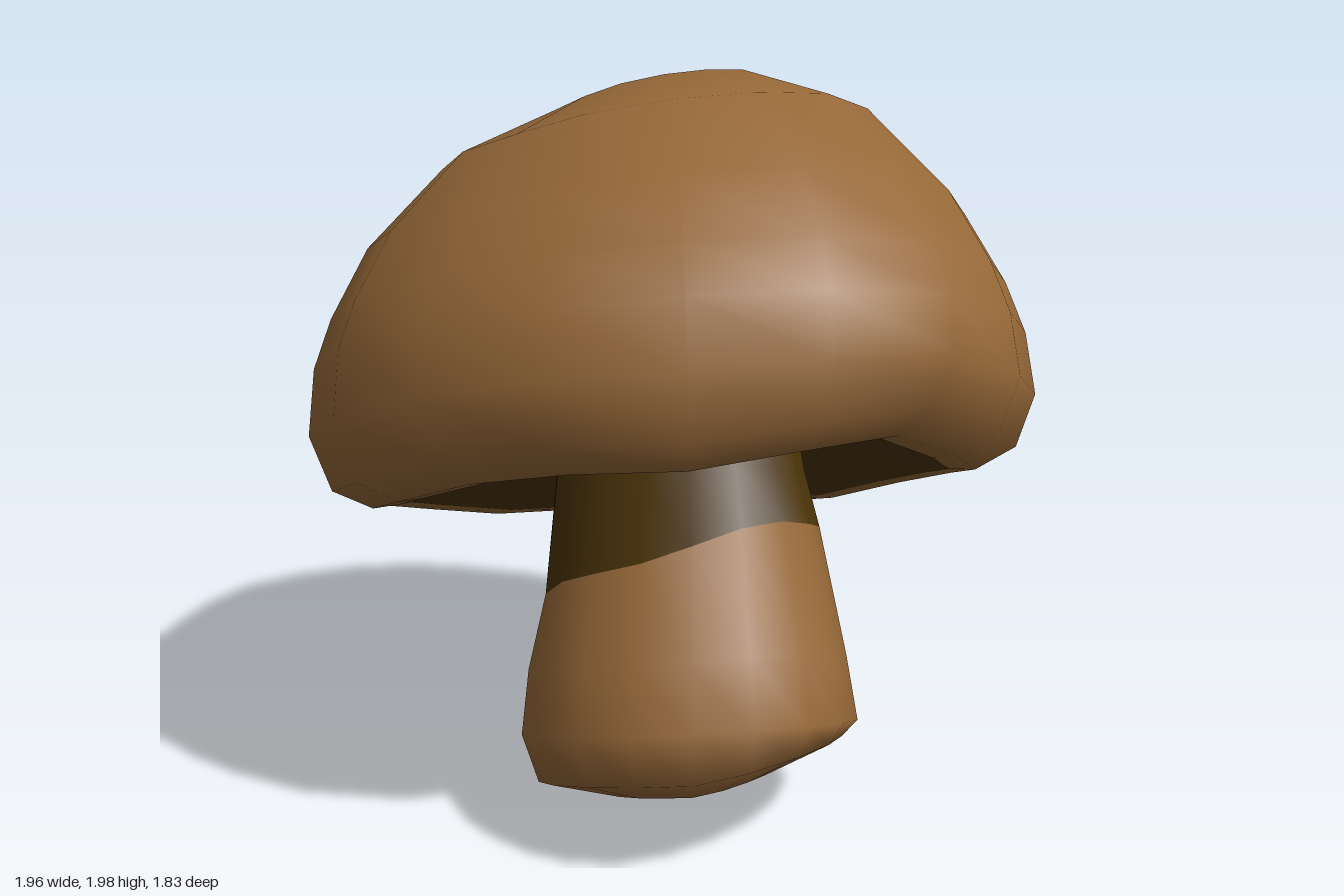
import * as THREE from 'three';
import { mergeVertices } from 'three/addons/utils/BufferGeometryUtils.js';

const SIDES = 18;
const { clamp } = THREE.MathUtils;

// Revolve a profile (bottom to top), bend its vertices by a rule, smooth the result
function revolve(profile, rule) {
  const lathe = new THREE.LatheGeometry(profile.map(([r, h]) => new THREE.Vector2(r, h)), SIDES);
  lathe.deleteAttribute('uv');
  lathe.deleteAttribute('normal');
  const geo = mergeVertices(lathe, 1e-4);
  const pos = geo.attributes.position;
  const v = new THREE.Vector3();
  for (let i = 0; i < pos.count; i++) {
    v.fromBufferAttribute(pos, i);
    rule(v, Math.atan2(v.z, v.x));
    pos.setXYZ(i, v.x, v.y, v.z);
  }
  geo.computeVertexNormals();
  return geo;
}

// Uneven growth of the cap: drooping front lip, small fold in the rim,
// crown set back and tipped to one side, fuller right shoulder
function capRule(v, a) {
  const r = Math.hypot(v.x, v.z);
  const wobble = 1 + 0.01 * Math.sin(3 * a + 1) + 0.008 * Math.sin(7 * a);
  const low = clamp((1.05 - v.y) / 0.25, 0, 1);
  const high = clamp((v.y - 1) / 0.6, 0, 1);
  const crown = clamp((v.y - 1.6) / 0.2, 0, 1);
  const fold = low * Math.exp(-(((a - 0.3) / 0.25) ** 2));
  v.y += r * 0.015 * Math.sin(5 * a + 0.6) * low + 0.04 * fold - 0.05 * Math.max(0, v.z) * low;
  v.y += crown * (0.07 * v.x - 0.02) - 0.08 * high * Math.max(0, v.z)
    + 0.07 * high * (1 - crown) * Math.max(0, -v.x);
  v.x = v.x * 1.015 * wobble * (1 - 0.04 * fold) - 0.025;
  v.z = v.z * 0.93 * wobble * (1 - 0.04 * fold) - 0.02 * high;
}

// Stem narrows front to back as it rises; its colours meet on a slanted line
// and its foot is cut off at an angle
function stemRule(v, a) {
  const foot = clamp((0.08 - v.y) / 0.1, 0, 1);
  v.y += 0.15 * foot * Math.max(0, v.x - v.z);
  if (v.y > 0.5 && v.y < 0.6) v.y += 0.2 * v.x - 0.08 * v.z + 0.012 * Math.sin(4 * a);
  v.z *= 1 - 0.22 * clamp(v.y, 0, 1);
}

export function createModel() {
  const brown = new THREE.MeshStandardMaterial({ color: 0x966838 });
  brown.name = 'mushroomBrown';
  const dark = new THREE.MeshStandardMaterial({ color: 0x4a3308 });
  dark.name = 'gillDark';

  const model = new THREE.Group();
  model.name = 'mushroom';
  // Everything grows along one leaning axis
  const body = new THREE.Group();
  body.name = 'leaningBody';
  body.position.set(0.295, 0.2, 0.265);
  body.quaternion.setFromUnitVectors(
    new THREE.Vector3(0, 1, 0), new THREE.Vector3(-0.275, 0.925, -0.265).normalize());
  model.add(body);

  const add = (name, profile, material, rule) => {
    const mesh = new THREE.Mesh(revolve(profile, rule), material);
    mesh.name = name;
    body.add(mesh);
  };

  // Cap: broad dome with a rolled rim
  add('cap', [[0.76, 0.74], [0.83, 0.735], [0.94, 0.79], [1.0, 0.92], [0.985, 1.08], [0.94, 1.22],
    [0.84, 1.42], [0.63, 1.67], [0.34, 1.82], [0, 1.86]], brown, capRule);

  // Hollow underside
  add('gills', [[0.28, 0.94], [0.42, 0.9], [0.59, 0.83], [0.76, 0.74]], dark, capRule);

  // Stem: brown foot with a broad base, dark neck
  add('stem', [[0, -0.1], [0.22, -0.09], [0.41, -0.045], [0.455, 0.08], [0.44, 0.25], [0.395, 0.52]],
    brown, stemRule);
  add('stemNeck', [[0.395, 0.52], [0.365, 0.75], [0.34, 1.02]], dark, stemRule);

  return model;
}
